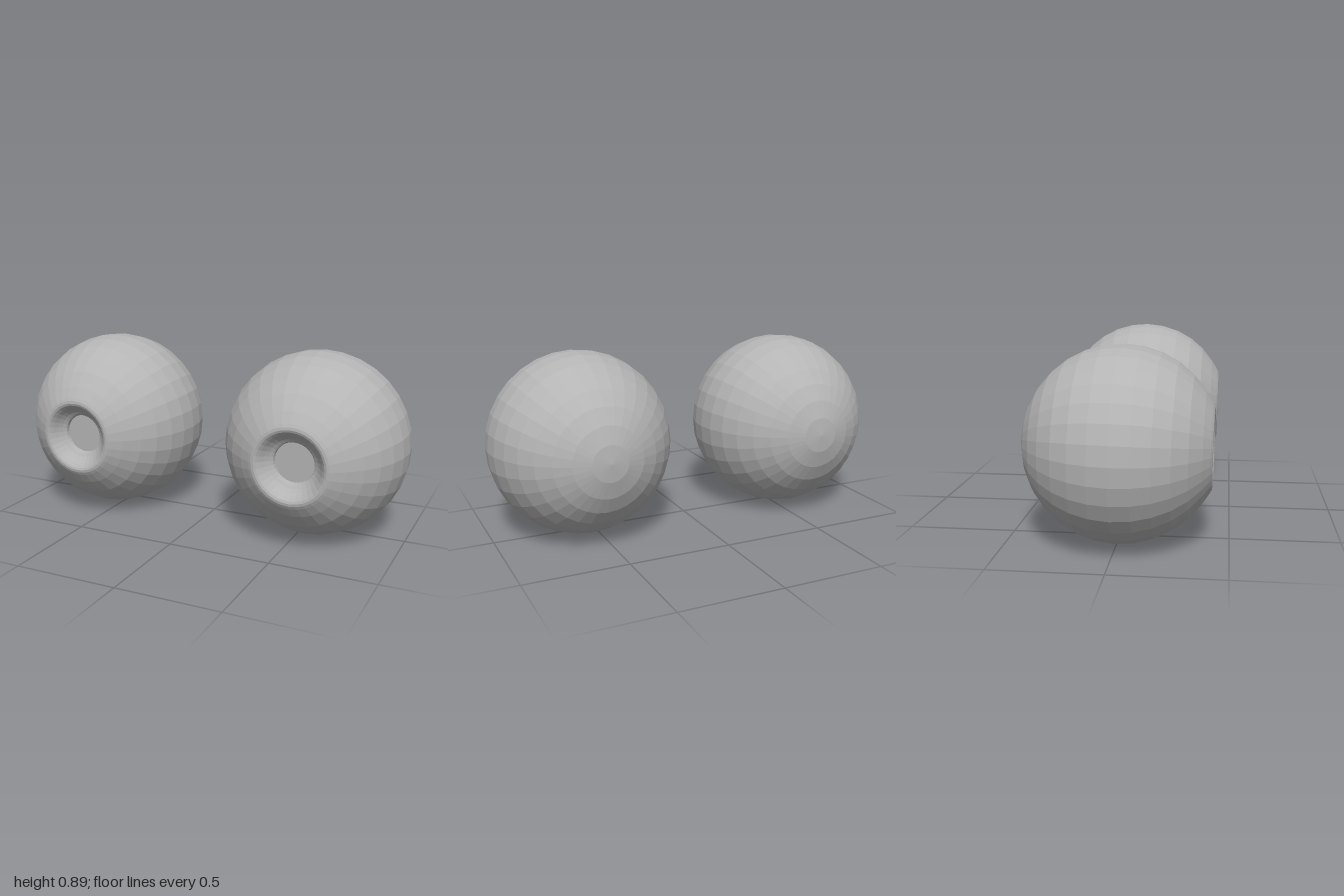
import * as THREE from 'three';

const R = 0.445; // ball radius

export function createModel() {
  const model = new THREE.Group();
  model.name = 'eyeballs';

  const grey = new THREE.MeshStandardMaterial({ color: 0xb4b4b4, flatShading: true });
  grey.name = 'grey';

  // Profile along the axis: back pole, round body, rolled rim, hollow iris, pupil edge
  const profile = [];
  for (let k = 0; k <= 13; k++) {
    const a = (k * Math.PI) / 16;
    profile.push(new THREE.Vector2(R * Math.sin(a), -R * Math.cos(a)));
  }
  const hollow = [
    [0.2, 0.401], [0.185, 0.409], [0.172, 0.411], [0.161, 0.407], [0.148, 0.395],
    [0.132, 0.376], [0.117, 0.361], [0.104, 0.352], [0.098, 0.347], [0.095, 0.333],
  ];
  hollow.forEach(([r, z]) => profile.push(new THREE.Vector2(r, z)));
  const ballGeometry = new THREE.LatheGeometry(profile, 32).rotateX(Math.PI / 2);

  // Flat disc closing the hollow
  const pupilGeometry = new THREE.CircleGeometry(0.095, 32).translate(0, 0, 0.333);

  for (const side of [-1, 1]) {
    const eye = new THREE.Group();
    eye.name = side > 0 ? 'leftEye' : 'rightEye';
    const ball = new THREE.Mesh(ballGeometry, grey);
    ball.name = 'eyeball';
    const pupil = new THREE.Mesh(pupilGeometry, grey);
    pupil.name = 'pupil';
    eye.add(ball, pupil);
    eye.position.set(side * 0.555, 0.447, 0.015);
    eye.rotation.set(0.02, side * 0.01, 0); // looks very slightly down and outward
    model.add(eye);
  }
  return model;
}
